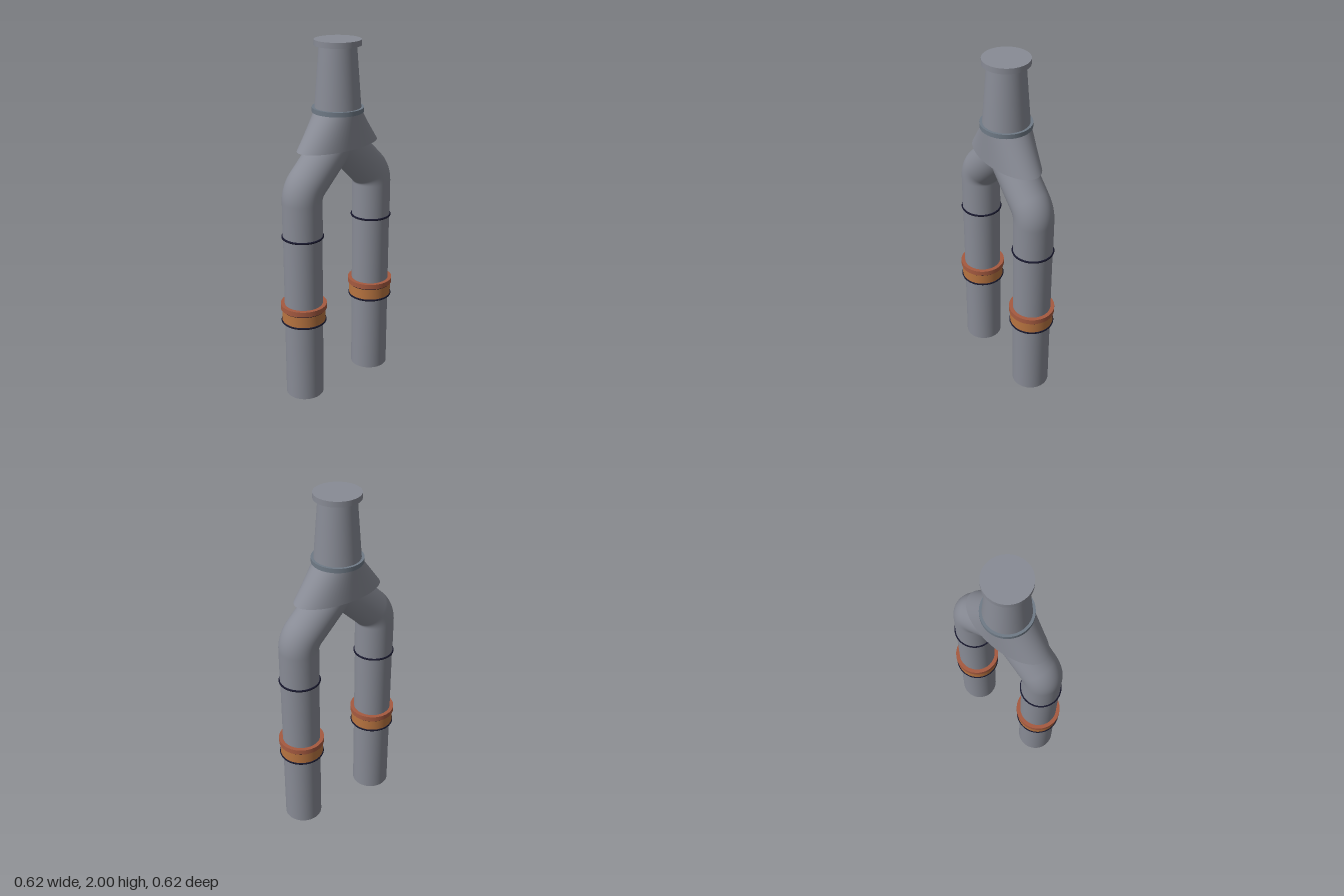
import * as THREE from 'three';

const material = (name, color) => {
  const m = new THREE.MeshStandardMaterial({ color });
  m.name = name;
  return m;
};

export function createModel() {
  const steel = material('steel grey', 0x888b95);
  const blueSteel = material('blue steel', 0x6f7a86);
  const copper = material('copper', 0xb87440);
  const rust = material('rust red', 0xa55a40);
  const seal = material('dark seal', 0x17172c);

  const model = new THREE.Group();
  model.name = 'forkedPipe';
  model.rotation.y = Math.PI / 4; // the fork spreads along the diagonal

  const add = (parent, name, geometry, mat, x = 0, y = 0) => {
    const mesh = new THREE.Mesh(geometry, mat);
    mesh.name = name;
    mesh.position.set(x, y, 0);
    parent.add(mesh);
    return mesh;
  };
  // Upright round section between two heights
  const section = (parent, name, mat, y0, y1, r0, r1 = r0, x = 0) =>
    add(parent, name, new THREE.CylinderGeometry(r1, r0, y1 - y0, 64), mat, x, (y0 + y1) / 2);
  const ring = (parent, name, y, radius, tube, x) => {
    const g = new THREE.TorusGeometry(radius, tube, 10, 64).rotateX(Math.PI / 2);
    return add(parent, name, g, seal, x, y);
  };

  // Legs: straight pipe, collar, seals and the elbow leading to the junction
  const legX = 0.255, bendY = 1.225, bend = 0.055;
  const v = (x, y) => new THREE.Vector3(x, y, 0);
  const bendEnd = v(legX - bend * Math.SQRT1_2, bendY + bend * Math.SQRT1_2);
  const path = new THREE.CurvePath();
  path.add(new THREE.LineCurve3(v(legX, 0.97), v(legX, bendY - bend)));
  path.add(new THREE.QuadraticBezierCurve3(v(legX, bendY - bend), v(legX, bendY), bendEnd));
  path.add(new THREE.LineCurve3(bendEnd, v(0, bendY + legX)));

  for (const [i, side] of ['right', 'left'].entries()) {
    const leg = new THREE.Group();
    leg.name = side + 'Leg';
    leg.rotation.y = i === 0 ? Math.PI : 0;
    model.add(leg);
    section(leg, 'lowerPipe', steel, 0, 0.97, 0.107, 0.107, legX);
    add(leg, 'elbowPipe', new THREE.TubeGeometry(path, 90, 0.109, 64), steel);
    section(leg, 'collar', copper, 0.465, 0.54, 0.122, 0.122, legX);
    section(leg, 'collarLip', rust, 0.54, 0.57, 0.129, 0.129, legX);
    ring(leg, 'collarLowerSeal', 0.465, 0.121, 0.006, legX);
    ring(leg, 'collarUpperSeal', 0.538, 0.12, 0.005, legX);
    ring(leg, 'elbowSeal', 0.97, 0.11, 0.006, legX);
  }

  // Skirt: circular at the top, widening to an ellipse over the fork
  const skirt = new THREE.CylinderGeometry(0.13, 0.13, 0.185, 64);
  const p = skirt.attributes.position;
  for (let i = 0; i < p.count; i++) if (p.getY(i) < 0) p.setX(i, p.getX(i) * 2.05);
  skirt.computeVertexNormals();
  // Join the normals across the seam of the side wall
  const n = skirt.attributes.normal;
  for (const row of [0, 65]) {
    const a = new THREE.Vector3().fromBufferAttribute(n, row);
    a.add(new THREE.Vector3().fromBufferAttribute(n, row + 64)).normalize();
    n.setXYZ(row, a.x, a.y, a.z);
    n.setXYZ(row + 64, a.x, a.y, a.z);
  }
  add(model, 'junctionSkirt', skirt, steel, 0, 1.5275);

  // Neck and cap
  section(model, 'neckRing', blueSteel, 1.62, 1.645, 0.139);
  section(model, 'neck', steel, 1.645, 1.97, 0.125, 0.1);
  section(model, 'cap', steel, 1.97, 2, 0.125);

  const root = new THREE.Group();
  root.name = 'model';
  root.add(model);
  return root;
}
